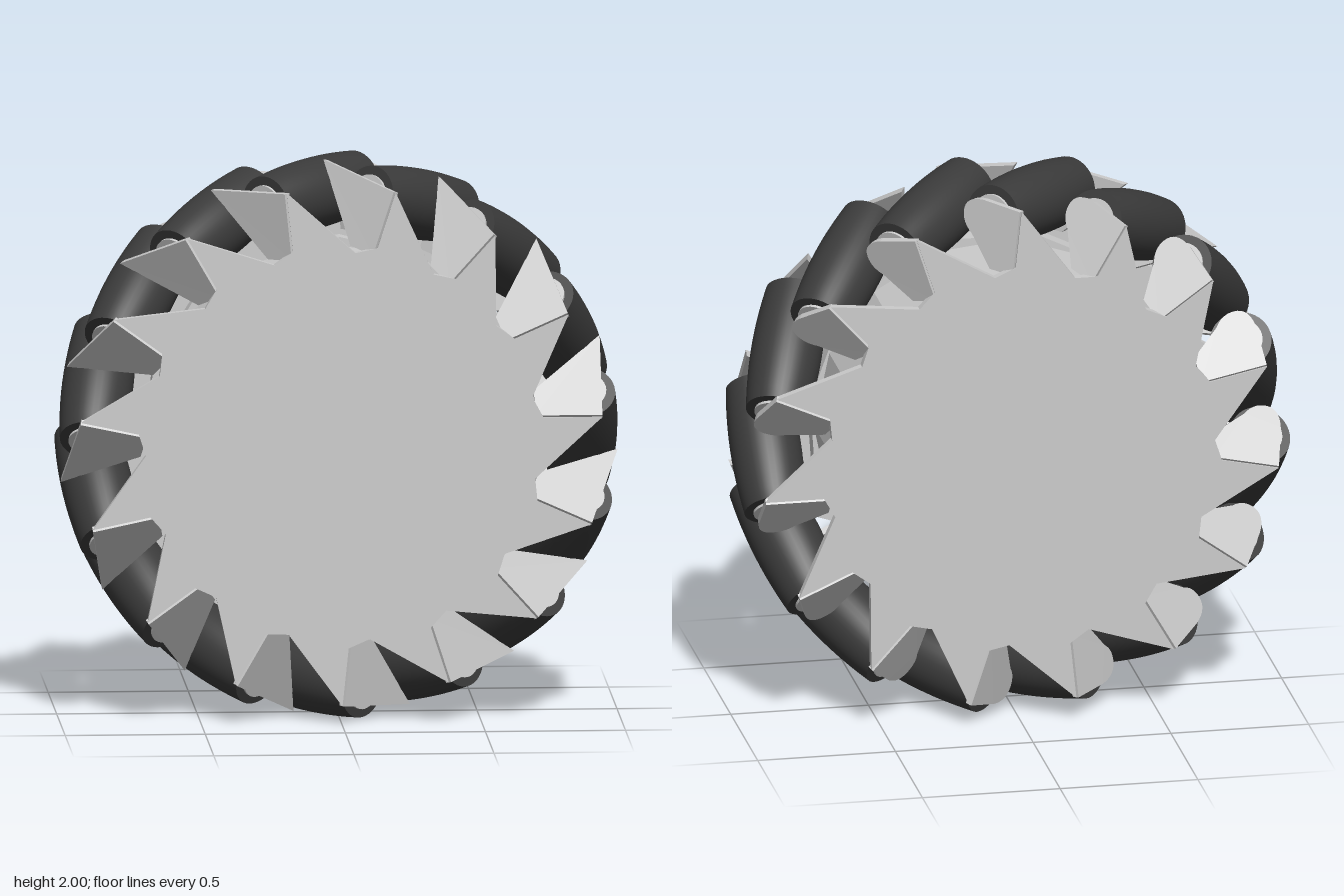
import * as THREE from 'three';
import { toCreasedNormals } from 'three/addons/utils/BufferGeometryUtils.js';

const COUNT = 15;
const STEP = (Math.PI * 2) / COUNT;
const AXLE_RADIUS = 0.873; // distance of the roller axes from the wheel centre
const HALF = 0.245;        // half length of a roller

const grey = new THREE.MeshStandardMaterial({ color: 0xcccccc, flatShading: true });
const greySmooth = new THREE.MeshStandardMaterial({ color: 0xcccccc });
const rubber = new THREE.MeshStandardMaterial({ color: 0x3a3a3a });

function part(parent, name, geometry, material) {
  const mesh = new THREE.Mesh(geometry, material);
  mesh.name = name;
  parent.add(mesh);
  return mesh;
}

// Barrel whose bulge keeps the whole wheel on a circle of radius 1
function rollerGeometry() {
  const profile = [new THREE.Vector2(0.07, -HALF)];
  for (let i = 0; i <= 12; i++) {
    const s = -HALF + (2 * HALF * i) / 12;
    profile.push(new THREE.Vector2(1 - Math.hypot(AXLE_RADIUS, s * Math.SQRT1_2), s));
  }
  profile.push(new THREE.Vector2(0.07, HALF));
  return toCreasedNormals(new THREE.LatheGeometry(profile, 40), 0.6);
}

// Slanted plate: outline given as (radial, tangential), sheared into the 45 degree plane
function plateGeometry(shape) {
  const geo = new THREE.ExtrudeGeometry(shape, { depth: 0.025, bevelEnabled: false, curveSegments: 8 });
  const p = geo.attributes.position;
  for (let i = 0; i < p.count; i++) {
    const t = p.getY(i);
    const a = p.getZ(i) * Math.SQRT1_2;
    p.setXYZ(i, p.getX(i), t + a, Math.min(0.3, 0.373 - t + a));
  }
  geo.computeVertexNormals();
  return geo;
}

// Saw-toothed disc: each tooth ends on the fold line of a slanted plate
function toothedDisc() {
  const tooth = [[0.69, -0.12], [0.93, 0.1], [0.72, 0.1]];
  const points = [];
  for (let i = 0; i < COUNT; i++) {
    for (const [x, y] of tooth) {
      points.push(new THREE.Vector2(x, y).rotateAround(new THREE.Vector2(), i * STEP));
    }
  }
  const geo = new THREE.ExtrudeGeometry(new THREE.Shape(points), { depth: 0.03, bevelEnabled: false });
  return geo.translate(0, 0, 0.27);
}

// Prism with one side per roller, lying along z
function prism(radius, depth, firstCorner) {
  const geo = new THREE.CylinderGeometry(radius, radius, depth, COUNT, 1, false, firstCorner + Math.PI / 2);
  return geo.rotateX(Math.PI / 2);
}

export function createModel() {
  const model = new THREE.Group();
  model.name = 'rollerWheel';
  const wheel = new THREE.Group();
  wheel.name = 'wheel';
  wheel.position.y = 1;
  model.add(wheel);

  // Hub and side discs
  part(wheel, 'hubDrum', prism(0.66, 0.5, 0), grey);
  for (const side of [1, -1]) {
    part(wheel, 'discRim', prism(0.68, 0.07, side * 0.14), grey).position.z = side * 0.235;
  }
  const disc = toothedDisc();
  part(wheel, 'frontDisc', disc, grey);
  part(wheel, 'backDisc', disc, grey).rotation.x = Math.PI;

  // Pointed front plate
  const pointed = new THREE.Shape();
  pointed.moveTo(0.69, 0.09);
  pointed.lineTo(0.93, 0.09);
  pointed.lineTo(0.935, 0.34);
  pointed.lineTo(0.69, 0.17);
  pointed.closePath();
  const frontPlate = plateGeometry(pointed);

  // Back plate, rounded about the axle
  const rounded = new THREE.Shape();
  rounded.moveTo(0.69, 0.09);
  rounded.lineTo(0.93, 0.09);
  rounded.lineTo(0.935, 0.2);
  rounded.quadraticCurveTo(0.93, 0.255, 0.875, 0.255);
  rounded.quadraticCurveTo(0.83, 0.255, 0.8, 0.225);
  rounded.lineTo(0.69, 0.16);
  rounded.closePath();
  const backPlate = plateGeometry(rounded).rotateX(Math.PI);

  const roller = rollerGeometry();
  const axle = new THREE.CylinderGeometry(0.045, 0.045, 0.55, 24);
  const bushing = new THREE.CylinderGeometry(0.078, 0.078, 0.51, 32);

  // Rollers with their plates around the rim
  for (let i = 0; i < COUNT; i++) {
    const unit = new THREE.Group();
    unit.name = 'rollerUnit';
    unit.rotation.z = i * STEP;
    wheel.add(unit);

    const spindle = new THREE.Group();
    spindle.name = 'spindle';
    spindle.position.x = AXLE_RADIUS;
    spindle.rotation.x = Math.PI / 4;
    unit.add(spindle);
    part(spindle, 'roller', roller, rubber);
    part(spindle, 'bushing', bushing, greySmooth);
    part(spindle, 'axle', axle, greySmooth);

    part(unit, 'frontPlate', frontPlate, grey);
    part(unit, 'backPlate', backPlate, grey);
  }
  return model;
}
